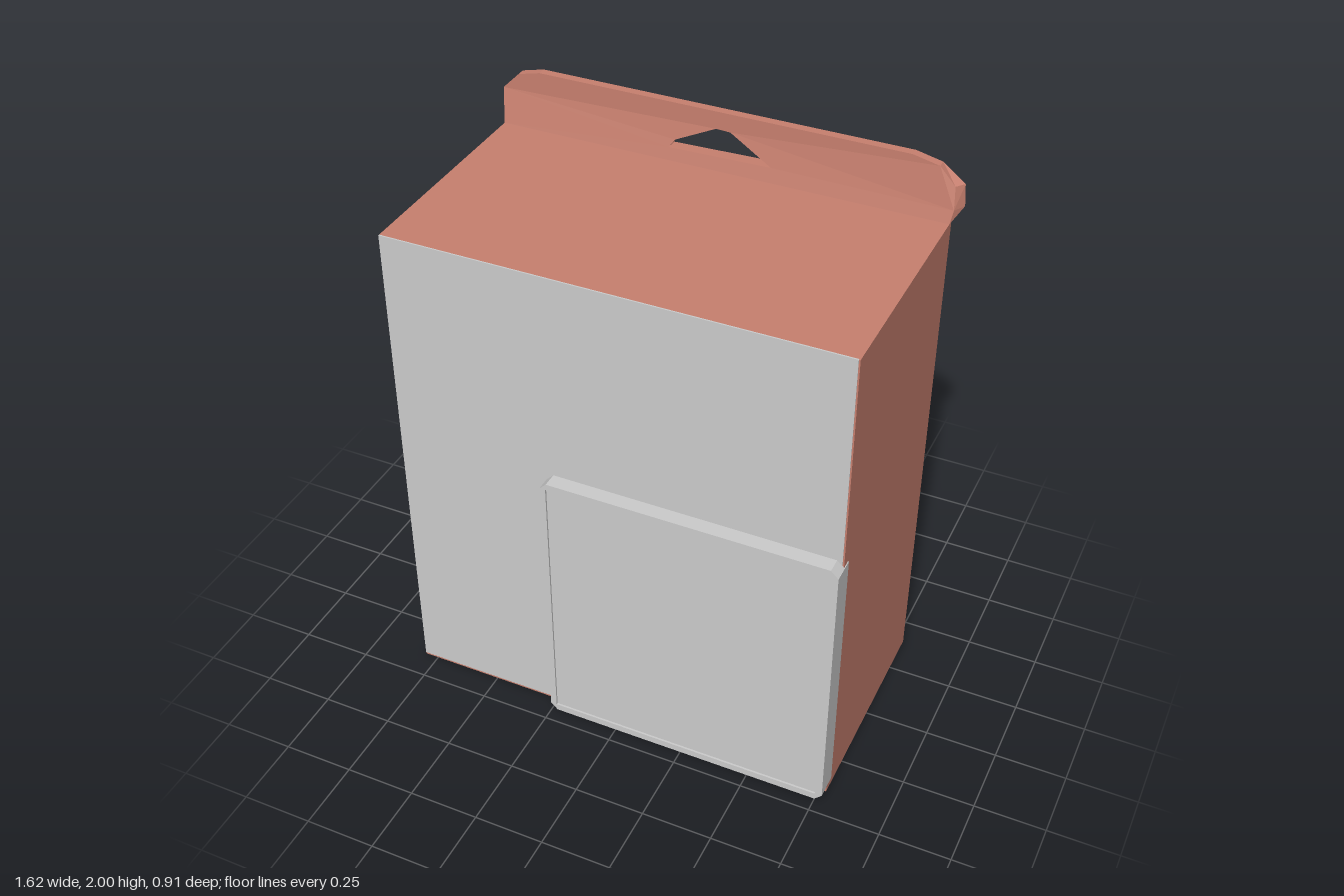
import * as THREE from 'three';

const red = new THREE.MeshStandardMaterial({ color: 0xc8806f, name: 'terracotta' });
const grey = new THREE.MeshStandardMaterial({ color: 0xcccccc, name: 'light grey' });

const { clamp, lerp } = THREE.MathUtils;
const ramp = (v, a, b, from, to) => lerp(from, to, clamp((v - a) / (b - a), 0, 1));

// box given by its two extreme corners
function slab(name, material, [x0, y0, z0], [x1, y1, z1]) {
  const geometry = new THREE.BoxGeometry(x1 - x0, y1 - y0, z1 - z0);
  geometry.translate((x0 + x1) / 2, (y0 + y1) / 2, (z0 + z1) / 2);
  const mesh = new THREE.Mesh(geometry, material);
  mesh.name = name;
  return mesh;
}

// applies a rule to every vertex
function reshape(geometry, rule) {
  const p = geometry.attributes.position;
  const v = new THREE.Vector3();
  for (let i = 0; i < p.count; i++) {
    rule(v.fromBufferAttribute(p, i));
    p.setXYZ(i, v.x, v.y, v.z);
  }
  geometry.computeVertexNormals();
}

const points = (list) => list.map(([x, y]) => new THREE.Vector2(x, y));

// rectangle with cut corners
function cutRect(x0, y0, x1, y1, c) {
  return points([
    [x0 + c, y0], [x1 - c, y0], [x1, y0 + c], [x1, y1 - c],
    [x1 - c, y1], [x0 + c, y1], [x0, y1 - c], [x0, y0 + c],
  ]);
}

export function createModel() {
  const model = new THREE.Group();
  model.name = 'hangingCarton';

  // carton body, its back leaning out slightly towards the top
  const body = slab('cartonBody', red, [-0.8, 0, -0.4], [0.775, 1.8, 0.4]);
  reshape(body.geometry, (v) => {
    if (v.z < 0 && v.y > 1) v.z = -0.42;
  });
  model.add(body);

  // grey front face
  model.add(slab('frontFace', grey, [-0.8, 0.008, 0.397], [0.77, 1.8, 0.402]));

  // hanging tab with a peaked slot
  const outline = new THREE.Shape(points([
    [-0.8, 1.8], [0.775, 1.8], [0.792, 1.845], [0.785, 1.92], [0.72, 1.98],
    [0.63, 2], [-0.67, 2], [-0.75, 1.98], [-0.81, 1.92],
  ]));
  outline.holes.push(new THREE.Path(points([
    [-0.19, 1.843], [-0.17, 1.872], [-0.03, 1.938], [0.02, 1.936], [0.17, 1.85],
  ])));
  const tabGeometry = new THREE.ExtrudeGeometry(outline, { depth: 1, bevelEnabled: false });
  reshape(tabGeometry, (v) => {
    const front = v.z > 0.5;
    v.z = front ? ramp(v.y, 1.8, 1.92, -0.4, -0.425) : ramp(v.y, 1.8, 1.85, -0.42, -0.455);
    // right end flares towards the back
    if (v.x > 0.78) v.x += front ? -0.01 : 0.013;
  });
  const tab = new THREE.Mesh(tabGeometry, red);
  tab.name = 'hangingTab';
  model.add(tab);

  // raised square panel: rim, inset face and a flange round the carton's edge
  const panel = new THREE.Group();
  panel.name = 'raisedPanel';
  const rimShape = new THREE.Shape(cutRect(-0.25, 0.01, 0.777, 1.045, 0.025));
  rimShape.holes.push(new THREE.Path(points([
    [-0.228, 0.035], [-0.228, 1.022], [0.753, 1.022], [0.753, 0.035],
  ])));
  const rimGeometry = new THREE.ExtrudeGeometry(rimShape, { depth: 0.055, bevelEnabled: false });
  const rim = new THREE.Mesh(rimGeometry, grey);
  rim.name = 'panelRim';
  rim.position.z = 0.4;
  panel.add(
    rim,
    slab('panelFace', grey, [-0.23, 0.033, 0.4], [0.755, 1.024, 0.448]),
    slab('panelFlange', grey, [0.77, 0.035, 0.365], [0.778, 1.02, 0.455]),
  );
  model.add(panel);

  return model;
}
